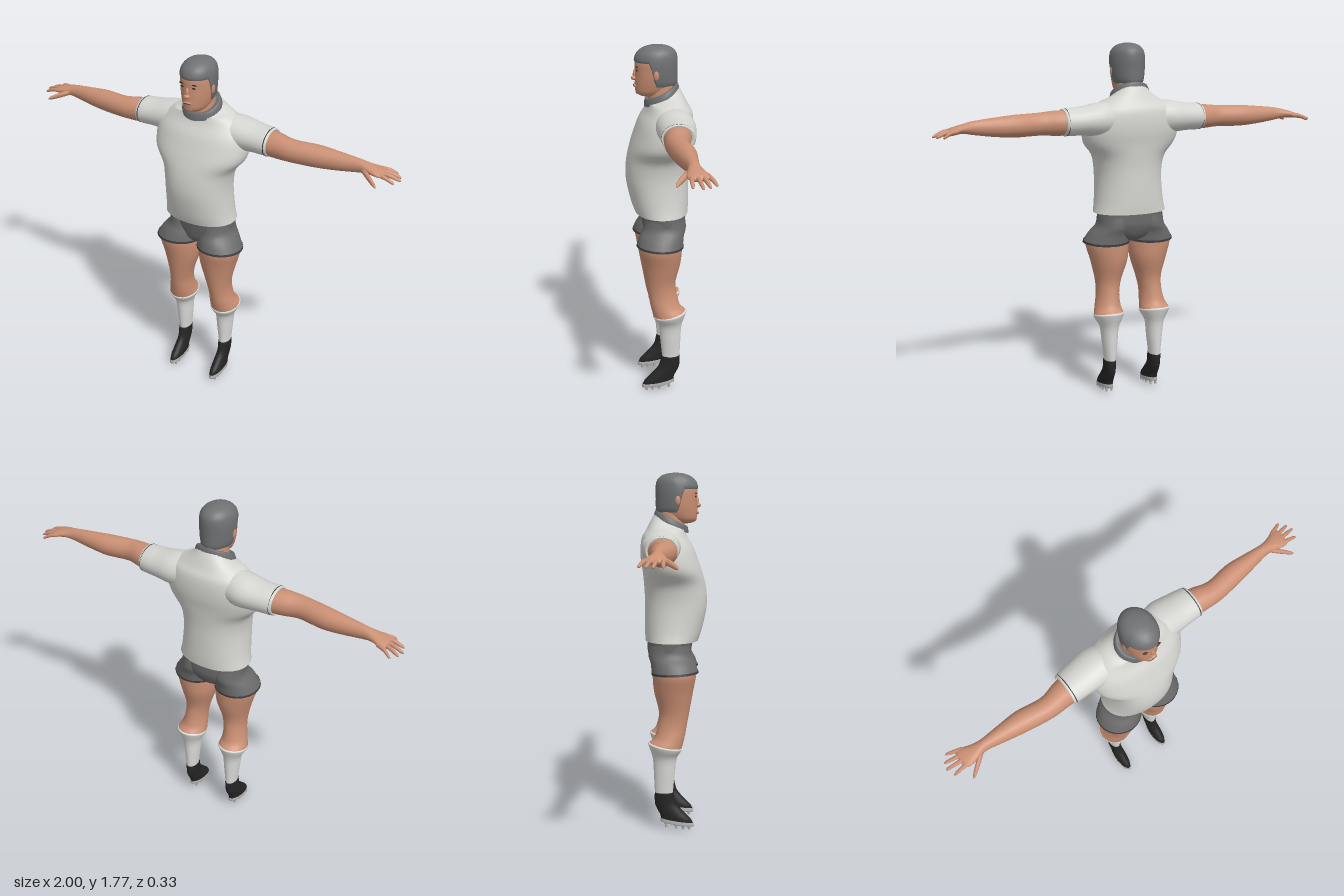
import * as THREE from 'three';

const mat = (name, color, side = THREE.FrontSide) => {
  const m = new THREE.MeshStandardMaterial({ color, side });
  m.name = name;
  return m;
};

// Closed tube of n columns and m rows; point(u, v) gives each vertex
function surface(n, m, point) {
  const pos = [], idx = [];
  for (let j = 0; j <= m; j++) for (let i = 0; i < n; i++) pos.push(...point(i / n, j / m));
  for (let j = 0; j < m; j++) for (let i = 0; i < n; i++) {
    const a = j * n + i, b = j * n + (i + 1) % n;
    idx.push(a, b, b + n, a, b + n, a + n);
  }
  const g = new THREE.BufferGeometry();
  g.setAttribute('position', new THREE.Float32BufferAttribute(pos, 3));
  g.setIndex(idx);
  g.computeVertexNormals();
  return g;
}

// Smooth interpolation of a table of cross-sections
function sample(rows, v) {
  const f = v * (rows.length - 1), i = Math.min(Math.floor(f), rows.length - 2), t = f - i;
  const at = k => rows[Math.max(0, Math.min(rows.length - 1, k))];
  return rows[0].map((_, c) => {
    const [p0, p1, p2, p3] = [at(i - 1)[c], at(i)[c], at(i + 1)[c], at(i + 2)[c]];
    return p1 + 0.5 * t * (p2 - p0 + t * (2 * p0 - 5 * p1 + 4 * p2 - p3 + t * (3 * (p1 - p2) + p3 - p0)));
  });
}

const soft = (x, p) => Math.sign(x) * Math.abs(x) ** p;

// Upright sections: [y, centre x, half x, centre z, half z, front tilt]
function loftY(rows, n = 24, p = 1, sub = 4) {
  return surface(n, (rows.length - 1) * sub, (u, v) => {
    const [y, cx, rx, cz, rz, tilt = 0] = sample(rows, v), a = u * Math.PI * 2;
    return [cx + rx * soft(Math.sin(a), p), y + tilt * Math.cos(a), cz + rz * soft(Math.cos(a), p)];
  });
}

// Sideways sections: [x, centre y, half y, centre z, half z]
function loftX(rows, n = 18, sub = 4) {
  return surface(n, (rows.length - 1) * sub, (u, v) => {
    const [x, cy, ry, cz, rz] = sample(rows, v), a = u * Math.PI * 2;
    return [x, cy - ry * Math.sin(a), cz + rz * Math.cos(a)];
  });
}

function mirrored(g) {
  const m = g.clone().scale(-1, 1, 1), ix = m.index;
  for (let i = 0; i < ix.count; i += 3) {
    const b = ix.getX(i + 1);
    ix.setX(i + 1, ix.getX(i + 2));
    ix.setX(i + 2, b);
  }
  return m;
}

export function createModel() {
  const model = new THREE.Group();
  model.name = 'athlete';
  const D = THREE.DoubleSide;
  const skin = mat('skin', 0xcb9074), hairMat = mat('hair', 0x6f7173, D);
  const shirt = mat('shirt cloth', 0xd4d4d0, D), shorts = mat('shorts cloth', 0x6a6a6a, D);
  const trim = mat('trim', 0x3c3d3f, D), collarMat = mat('collar', 0x6c6e70, D);
  const sock = mat('sock cloth', 0xdcdcda, D), boot = mat('boot', 0x252525, D);
  const soleMat = mat('sole', 0xb4b4b4, D), dark = mat('eye and brow', 0x3a2a24);

  const add = (name, geo, m) => {
    const mesh = new THREE.Mesh(geo, m);
    mesh.name = name;
    model.add(mesh);
  };
  const pair = (name, geo, m) => {
    add('left' + name, geo, m);
    add('right' + name, mirrored(geo), m);
  };
  const blob = (x, y, z, rx, ry, rz) => new THREE.SphereGeometry(1, 14, 10).scale(rx, ry, rz).translate(x, y, z);

  // Shirt body and collar
  add('shirtBody', loftY([
    [0.945, 0, 0.187, -0.008, 0.132, 0], [1.0, 0, 0.176, 0, 0.143, 0],
    [1.1, 0, 0.168, 0.011, 0.154, 0], [1.17, 0, 0.171, 0.012, 0.155, 0],
    [1.23, 0, 0.187, 0.006, 0.153, 0], [1.29, 0, 0.235, -0.005, 0.148, 0],
    [1.35, 0, 0.248, -0.02, 0.142, 0], [1.41, 0, 0.24, -0.032, 0.131, 0],
    [1.46, 0, 0.21, -0.043, 0.112, 0], [1.495, 0, 0.16, -0.038, 0.096, 0.0],
    [1.518, 0, 0.105, -0.02, 0.088, -0.03], [1.535, 0, 0.088, -0.012, 0.08, -0.038],
  ], 40, 0.92), shirt);
  add('collar', loftY([
    [1.512, 0, 0.1, -0.013, 0.088, -0.036], [1.53, 0, 0.098, -0.011, 0.085, -0.038],
    [1.55, 0, 0.088, -0.01, 0.079, -0.038], [1.547, 0, 0.07, -0.01, 0.065, -0.036],
  ], 28), collarMat);

  // Sleeves and cuffs
  pair('Sleeve', loftX([
    [0.08, 1.41, 0.08, -0.045, 0.085], [0.14, 1.412, 0.084, -0.05, 0.094],
    [0.2, 1.412, 0.08, -0.057, 0.096], [0.28, 1.408, 0.069, -0.055, 0.088],
    [0.36, 1.405, 0.066, -0.05, 0.08], [0.365, 1.404, 0.058, -0.048, 0.069],
  ], 24), shirt);
  pair('Cuff', loftX([[0.352, 1.405, 0.067, -0.05, 0.081], [0.357, 1.405, 0.067, -0.05, 0.081]], 24, 1), trim);

  // Arms and hands
  pair('Arm', loftX([
    [0.33, 1.402, 0.06, -0.048, 0.068], [0.4, 1.402, 0.06, -0.04, 0.062],
    [0.48, 1.4, 0.054, -0.03, 0.053], [0.6, 1.398, 0.053, -0.046, 0.053],
    [0.7, 1.398, 0.045, -0.052, 0.041], [0.8, 1.4, 0.033, -0.057, 0.028],
    [0.85, 1.399, 0.023, -0.058, 0.036], [0.89, 1.394, 0.018, -0.062, 0.047],
    [0.92, 1.388, 0.013, -0.066, 0.044], [0.93, 1.386, 0, -0.066, 0],
  ]), skin);
  [[0.965, -0.13, -0.1], [0.99, -0.1, -0.077], [1.0, -0.07, -0.055], [0.985, -0.03, -0.033]].forEach(([x, z, z0], i) =>
    pair('Finger' + (i + 1), loftX([
      [0.885, 1.393, 0.011, z0, 0.012], [(0.885 + x) / 2, 1.387, 0.01, (z0 + z) / 2, 0.01],
      [x - 0.01, 1.372, 0.007, z, 0.007], [x, 1.369, 0, z, 0],
    ], 8, 3), skin));
  pair('Thumb', loftX([
    [0.82, 1.396, 0.013, -0.045, 0.014], [0.87, 1.38, 0.014, -0.008, 0.014],
    [0.912, 1.364, 0.009, 0.022, 0.009], [0.925, 1.358, 0, 0.029, 0],
  ], 10, 3), skin);

  // Shorts with dark hems
  add('shortsHips', loftY([
    [0.8, 0, 0.03, -0.01, 0.06], [0.83, 0, 0.12, -0.015, 0.09], [0.88, 0, 0.166, -0.02, 0.107],
    [0.92, 0, 0.172, -0.018, 0.112], [0.97, 0, 0.172, -0.012, 0.118],
  ], 32), shorts);
  pair('ShortsLeg', loftY([
    [0.795, 0.119, 0.116, 0.009, 0.115, 0.005], [0.84, 0.108, 0.1, 0, 0.111, 0],
    [0.88, 0.094, 0.082, -0.016, 0.107, 0], [0.93, 0.09, 0.078, -0.018, 0.1, 0],
  ]), shorts);
  pair('ShortsHem', loftY([
    [0.791, 0.119, 0.118, 0.009, 0.117, 0.005], [0.802, 0.118, 0.116, 0.008, 0.116, 0.005],
  ], 24, 1, 1), trim);

  // Legs
  pair('Leg', loftY([
    [0.415, 0.127, 0.07, -0.04, 0.076, -0.015], [0.43, 0.127, 0.074, -0.038, 0.081, -0.014],
    [0.47, 0.123, 0.064, -0.018, 0.075, 0], [0.53, 0.118, 0.057, -0.004, 0.072, 0],
    [0.6, 0.112, 0.066, 0.005, 0.076, 0], [0.7, 0.108, 0.094, 0.002, 0.097, 0],
    [0.79, 0.115, 0.11, 0.006, 0.108, 0], [0.84, 0.105, 0.09, 0, 0.1, 0],
  ]), skin);

  // Socks
  pair('Sock', loftY([
    [0.15, 0.125, 0.026, -0.045, 0.042, 0], [0.2, 0.125, 0.029, -0.046, 0.046, 0],
    [0.28, 0.125, 0.038, -0.044, 0.052, 0], [0.36, 0.126, 0.047, -0.042, 0.059, 0],
    [0.405, 0.127, 0.069, -0.041, 0.077, -0.012], [0.425, 0.127, 0.077, -0.04, 0.085, -0.016],
    [0.432, 0.127, 0.072, -0.039, 0.079, -0.014],
  ]), sock);

  // Boots with studded soles
  pair('Boot', loftY([
    [0.036, 0.125, 0.029, 0.02, 0.08, -0.013], [0.06, 0.125, 0.03, 0.013, 0.078, -0.013],
    [0.09, 0.125, 0.029, -0.01, 0.068, -0.008], [0.13, 0.125, 0.028, -0.037, 0.054, 0],
    [0.185, 0.125, 0.03, -0.045, 0.047, 0], [0.183, 0.125, 0.025, -0.045, 0.04, 0],
  ]), boot);
  pair('Sole', loftY([
    [0.022, 0.125, 0, 0.02, 0, 0], [0.023, 0.125, 0.028, 0.02, 0.076, -0.013],
    [0.03, 0.125, 0.031, 0.02, 0.083, -0.013], [0.044, 0.125, 0.031, 0.019, 0.082, -0.013],
  ], 24, 1, 2), soleMat);
  [-0.035, 0.015, 0.05, 0.08].forEach((z, i) => [-0.014, 0.014].forEach((x, k) => {
    const low = Math.max(0, 0.012 - 0.16 * (z + 0.035)), top = 0.03 - 0.16 * (z - 0.02);
    pair('Stud' + (i * 2 + k + 1), new THREE.CylinderGeometry(0.008, 0.006, top - low, 8)
      .translate(0.125 + x, (top + low) / 2, z), soleMat);
  }));

  // Neck and head
  add('neck', loftY([
    [1.47, 0, 0.07, -0.015, 0.066, 0], [1.53, 0, 0.066, -0.01, 0.066, 0], [1.6, 0, 0.064, -0.01, 0.066, 0],
  ]), skin);
  const headRows = [
    [1.524, 0, 0, 0.06, 0], [1.529, 0, 0.034, 0.055, 0.036], [1.546, 0, 0.055, 0.036, 0.077],
    [1.575, 0, 0.068, 0.02, 0.098], [1.61, 0, 0.076, 0.018, 0.1], [1.65, 0, 0.08, 0.018, 0.1],
    [1.69, 0, 0.081, 0.018, 0.101], [1.73, 0, 0.075, 0.015, 0.093], [1.755, 0, 0.055, 0.012, 0.068],
    [1.766, 0, 0.028, 0.012, 0.035], [1.769, 0, 0, 0.012, 0],
  ];
  add('head', loftY(headRows, 32), skin);

  // Hair cap: low at the nape, stepping up past the ears to a fringe
  const rowAt = y => {
    let lo = 0, hi = 1;
    for (let k = 0; k < 24; k++) {
      const mid = (lo + hi) / 2;
      if (sample(headRows, mid)[0] < y) lo = mid; else hi = mid;
    }
    return lo;
  };
  add('hair', surface(48, 20, (u, v) => {
    const a = u * Math.PI * 2, c = Math.cos(a);
    const edge = 1.578 + 0.115 * THREE.MathUtils.smoothstep(c, 0.0, 0.4);
    const v0 = rowAt(edge), [y, , rx, cz, rz] = sample(headRows, v0 + (1 - v0) * v);
    const grow = v === 0 ? 1 : 1.05;
    return [rx * grow * Math.sin(a), y + 0.004 * v, cz + rz * grow * c];
  }), hairMat);

  // Face
  const faceZ = (x, y) => {
    const [, , rx, cz, rz] = sample(headRows, rowAt(y));
    return cz + rz * Math.sqrt(1 - (x / rx) ** 2);
  };
  add('noseBridge', blob(0, 1.632, 0.115, 0.009, 0.026, 0.013), skin);
  add('noseTip', blob(0, 1.614, 0.122, 0.015, 0.011, 0.015), skin);
  add('lips', blob(0, 1.578, faceZ(0, 1.578), 0.024, 0.009, 0.007), skin);
  add('mouthLine', blob(0, 1.579, faceZ(0, 1.579) + 0.006, 0.021, 0.0016, 0.003), dark);
  add('chin', blob(0, 1.55, 0.102, 0.024, 0.016, 0.014), skin);
  pair('Eye', blob(0.031, 1.656, faceZ(0.031, 1.656), 0.011, 0.0045, 0.004), dark);
  pair('Brow', blob(0.032, 1.672, faceZ(0.032, 1.672), 0.017, 0.003, 0.005), dark);
  pair('Ear', blob(0.079, 1.638, 0.022, 0.009, 0.026, 0.014), skin);

  return model;
}
